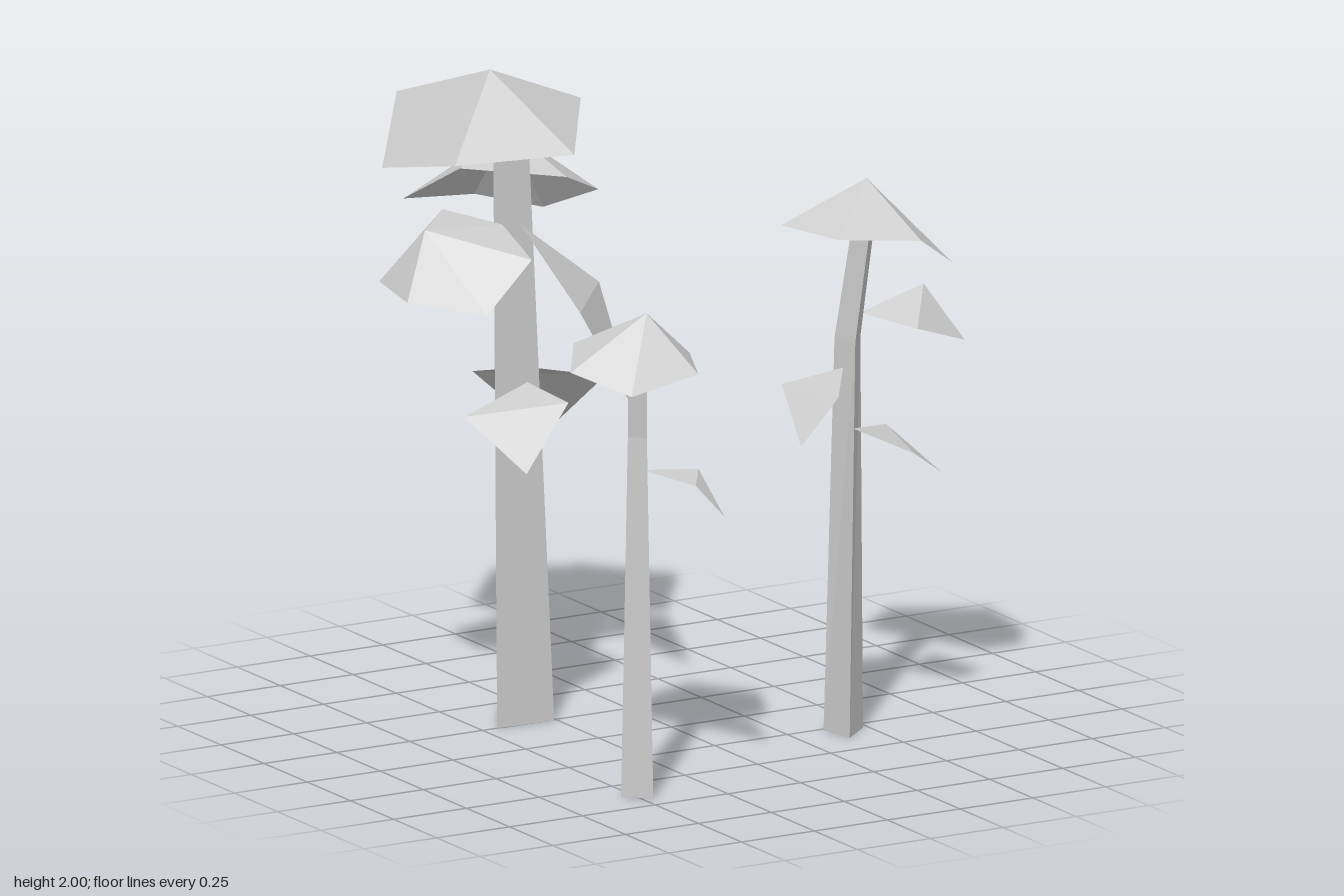
import * as THREE from 'three';

const material = new THREE.MeshStandardMaterial({
  color: 0xcccccc, flatShading: true, side: THREE.DoubleSide,
});

// Mesh from a list of corner points, three per facet
function facets(name, corners) {
  const geometry = new THREE.BufferGeometry();
  geometry.setAttribute('position', new THREE.Float32BufferAttribute(corners.flat(), 3));
  geometry.computeVertexNormals();
  const mesh = new THREE.Mesh(geometry, material);
  mesh.name = name;
  return mesh;
}

// Three-sided trunk through triangular rings, each ring = [height, [x, z] * 3]
function trunk(rings) {
  const loops = rings.map(([y, ...ring]) => ring.map(([x, z]) => [x, y, z]));
  const corners = [];
  for (let k = 0; k < loops.length - 1; k++) {
    const a = loops[k], b = loops[k + 1];
    for (let i = 0; i < 3; i++) {
      const j = (i + 1) % 3;
      corners.push(a[i], a[j], b[j], a[i], b[j], b[i]);
    }
  }
  corners.push(...[...loops[0]].reverse(), ...loops[loops.length - 1]);
  return facets('trunk', corners);
}

// Open faceted umbrella: an apex joined to a rim running clockwise from above
function umbrella(name, apex, rim) {
  return facets(name, rim.flatMap((p, i) => [apex, rim[(i + 1) % rim.length], p]));
}

// Drooping diamond leaf, creased across its two side corners
function leaf(name, base, right, tip, left) {
  return facets(name, [base, left, right, right, left, tip]);
}

function tree(name, ...parts) {
  const group = new THREE.Group();
  group.name = name;
  group.add(...parts);
  return group;
}

export function createModel() {
  const model = new THREE.Group();
  model.name = 'treeGroup';

  model.add(tree('tallTree',
    trunk([
      [0, [-0.45, -0.25], [-0.26, -0.24], [-0.34, -0.425]],
      [1.83, [-0.44, -0.29], [-0.325, -0.283], [-0.373, -0.37]],
    ]),
    umbrella('canopy', [-0.445, 2, -0.3], [
      [-0.54, 1.86, -0.68], [-0.27, 1.83, -0.59], [-0.11, 1.86, -0.34],
      [-0.3, 1.775, -0.056], [-0.66, 1.77, -0.14], [-0.72, 1.7, -0.46],
    ]),
    umbrella('rearFoliage', [-0.195, 1.715, -0.615], [
      [-0.175, 1.46, -0.845], [-0.02, 1.43, -0.71], [0.022, 1.535, -0.46],
      [-0.17, 1.63, -0.32], [-0.43, 1.65, -0.5], [-0.5, 1.52, -0.71],
    ]),
    umbrella('sideFoliage', [-0.68, 1.545, -0.28], [
      [-0.42, 1.53, -0.27], [-0.42, 1.46, -0.1], [-0.595, 1.32, -0.065],
      [-0.767, 1.345, -0.235], [-0.76, 1.37, -0.41], [-0.54, 1.56, -0.415],
    ]),
    leaf('largeFrontLeaf',
      [-0.355, 1.52, -0.275], [-0.077, 1.305, -0.29], [-0.1, 0.95, -0.018], [-0.3, 1.3, -0.022]),
    leaf('lowRearLeaf',
      [-0.3, 1.065, -0.33], [-0.28, 0.97, -0.68], [-0.013, 0.74, -0.71], [0, 0.985, -0.385]),
    leaf('lowFrontLeaf',
      [-0.34, 1.04, -0.26], [-0.3, 1.01, -0.09], [-0.5, 0.84, 0.005], [-0.58, 0.975, -0.22]),
  ));

  model.add(tree('middleTree',
    trunk([
      [0, [0.388, 0.378], [0.484, 0.293], [0.367, 0.262]],
      [1.2, [0.418, 0.36], [0.468, 0.305], [0.394, 0.28]],
      [1.57, [0.455, 0.388], [0.5, 0.338], [0.44, 0.312]],
    ]),
    umbrella('canopy', [0.48, 1.685, 0.32], [
      [0.42, 1.505, 0.095], [0.686, 1.49, 0.235], [0.664, 1.445, 0.507],
      [0.48, 1.565, 0.637], [0.283, 1.56, 0.49], [0.212, 1.567, 0.277],
    ]),
    umbrella('sideFoliage', [0.67, 1.34, 0.33], [
      [0.645, 1.22, 0.14], [0.767, 1.19, 0.288], [0.75, 1.18, 0.434],
      [0.56, 1.25, 0.48], [0.47, 1.27, 0.3],
    ]),
    leaf('highLeaf',
      [0.394, 1.12, 0.33], [0.28, 1.08, 0.495], [0.167, 0.94, 0.47], [0.207, 1.085, 0.29]),
    leaf('lowLeaf',
      [0.41, 0.938, 0.36], [0.595, 0.9, 0.24], [0.7, 0.77, 0.39], [0.55, 0.87, 0.48]),
  ));

  model.add(tree('smallTree',
    trunk([
      [0, [-0.54, 0.62], [-0.468, 0.685], [-0.447, 0.59]],
      [1.1, [-0.524, 0.632], [-0.484, 0.675], [-0.468, 0.611]],
      [1.38, [-0.54, 0.662], [-0.5, 0.705], [-0.483, 0.645]],
    ]),
    umbrella('canopy', [-0.49, 1.485, 0.683], [
      [-0.466, 1.385, 0.46], [-0.305, 1.325, 0.62], [-0.41, 1.325, 0.848],
      [-0.637, 1.285, 0.845], [-0.755, 1.34, 0.69], [-0.65, 1.38, 0.53],
    ]),
    leaf('sideLeaf',
      [-0.48, 0.995, 0.64], [-0.31, 0.985, 0.68], [-0.315, 0.875, 0.84], [-0.39, 0.97, 0.8]),
  ));

  return model;
}
